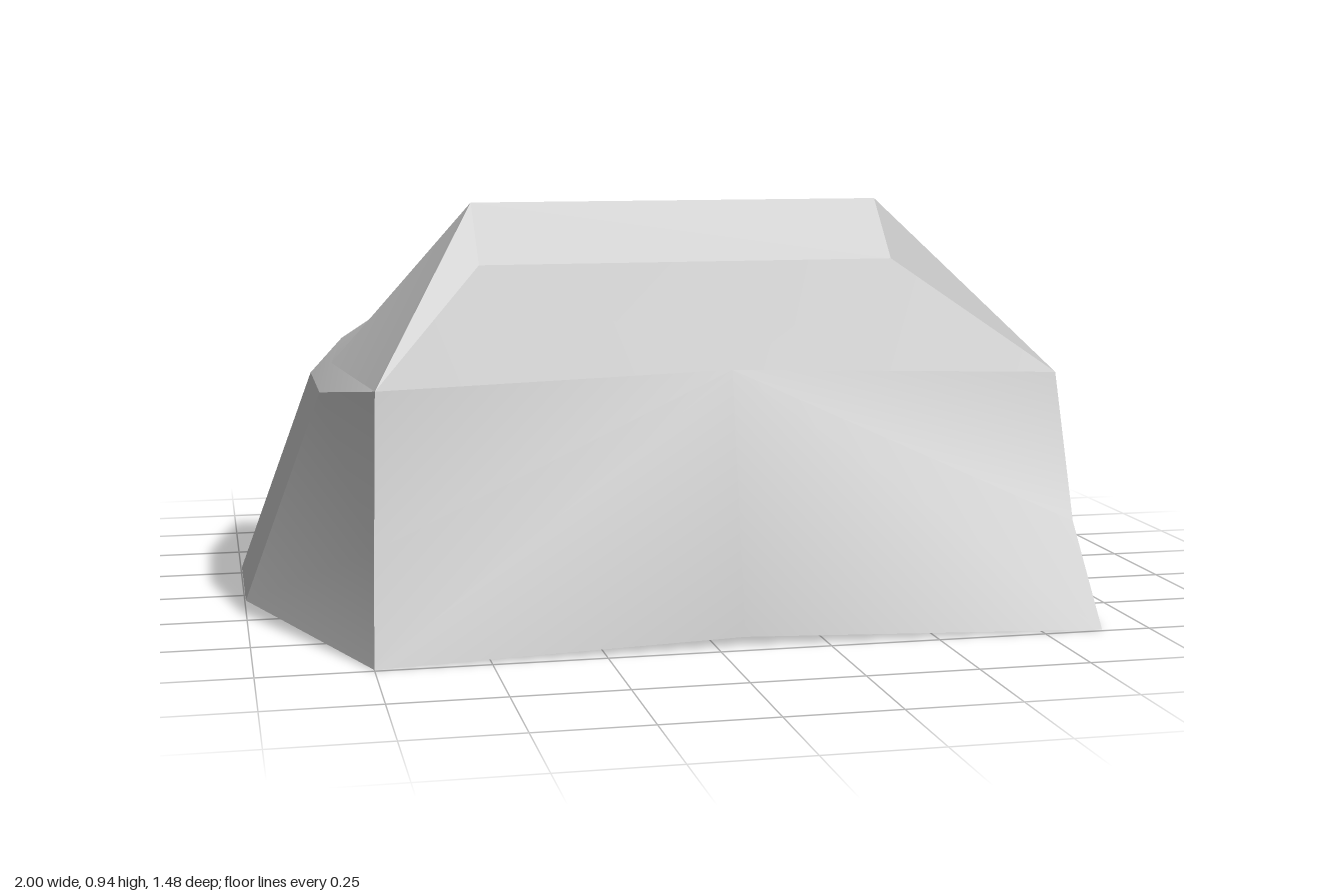
import * as THREE from 'three';
import { toCreasedNormals } from 'three/addons/utils/BufferGeometryUtils.js';

const cloth = new THREE.MeshStandardMaterial({ color: 0xcccccc, side: THREE.DoubleSide });
const centre = new THREE.Vector3(0, 0.3, 0);

// Cloth panel from triangles and quads, every face turned outwards
function panel(name, faces) {
  const pos = [];
  for (const f of faces) {
    for (let i = 1; i < f.length - 1; i++) {
      const [a, b, c] = [f[0], f[i], f[i + 1]].map((p) => new THREE.Vector3(...p));
      const normal = b.clone().sub(a).cross(c.clone().sub(a));
      const out = a.clone().add(b).add(c).divideScalar(3).sub(centre);
      const tri = normal.dot(out) < 0 ? [a, c, b] : [a, b, c];
      tri.forEach((p) => pos.push(p.x, p.y, p.z));
    }
  }
  const geo = new THREE.BufferGeometry();
  geo.setAttribute('position', new THREE.Float32BufferAttribute(pos, 3));
  const mesh = new THREE.Mesh(toCreasedNormals(geo, 0.5), cloth);
  mesh.name = name;
  return mesh;
}

// Key points of the two ends: x for each level
const ends = {
  back: { ridge: -0.44, eave: -0.72, knee: -0.735, base: -0.75, mid: [-0.78, 0.56, 0], door: [-0.82, 0.515], sill: -1 },
  open: { ridge: 0.575, eave: 0.855, knee: 0.87, base: 0.89, mid: [0.815, 0.555, 0], door: [0.82, 0.5], sill: 1 },
};

// Corner line of one end on side s: ridge, crease, eave, knee, base
const corner = (e, s) => ({
  ridge: [e.ridge, 0.94, 0],
  crease: [e.ridge, 0.8, 0.14 * s],
  eave: [e.eave, 0.56, 0.515 * s],
  knee: [e.knee, 0.225, 0.605 * s],
  base: [e.base, 0, 0.74 * s],
  doorTop: [e.door[0], e.door[1], 0.18 * s],
  sill: [e.sill, 0.03, 0.18 * s],
});

export function createModel() {
  const tent = new THREE.Group();
  tent.name = 'tent';

  // Long sides: the front bulges out at the middle, the back sags slightly
  for (const s of [1, -1]) {
    const side = s > 0 ? 'front' : 'rear';
    const a = corner(ends.back, s);
    const b = corner(ends.open, s);
    const eaveMid = [0.065, 0.595, s > 0 ? 0.58 : -0.522];
    const baseMid = [0.065, 0.02, s > 0 ? 0.71 : -0.68];
    const creaseMid = [0.065, 0.8, 0.14 * s];

    tent.add(panel(side + 'RidgeStrip', [[a.ridge, a.crease, b.crease, b.ridge]]));
    tent.add(panel(side + 'Roof', [a, b].map((c) => [c.crease, c.eave, eaveMid, creaseMid])));
    tent.add(panel(side + 'Wall', [a, b].flatMap((c) => [
      [eaveMid, c.eave, c.knee],
      ...(s > 0
        ? [[eaveMid, c.knee, c.base], [eaveMid, c.base, baseMid]]
        : [[eaveMid, c.knee, baseMid], [c.knee, c.base, baseMid]]),
    ])));
  }

  // Sloping ends with their walls beside the doorway
  for (const [name, e] of Object.entries(ends)) {
    const f = corner(e, 1);
    const r = corner(e, -1);
    tent.add(panel(name + 'EndRoof', [
      [f.ridge, f.crease, f.eave],
      [f.ridge, f.eave, e.mid],
      [r.ridge, r.crease, e.mid],
      [r.crease, r.eave, e.mid],
    ]));
    tent.add(panel(name + 'EndWall', [
      [e.mid, f.doorTop, r.doorTop],
      ...[f, r].flatMap((c) => [
        [c.eave, e.mid, c.doorTop],
        [c.eave, c.doorTop, c.knee],
        [c.knee, c.doorTop, c.sill],
        [c.knee, c.sill, c.base],
      ]),
    ]));
    // Only the far end has its door closed
    if (name === 'back') {
      tent.add(panel('closedDoor', [[f.doorTop, f.sill, r.sill, r.doorTop]]));
    }
  }

  // Rolled-up door flap above the open doorway
  const roll = new THREE.Mesh(new THREE.CylinderGeometry(0.021, 0.021, 0.36, 16), cloth);
  roll.name = 'rolledDoorFlap';
  roll.rotation.x = Math.PI / 2;
  roll.position.set(0.815, 0.495, 0);
  tent.add(roll);

  return tent;
}
